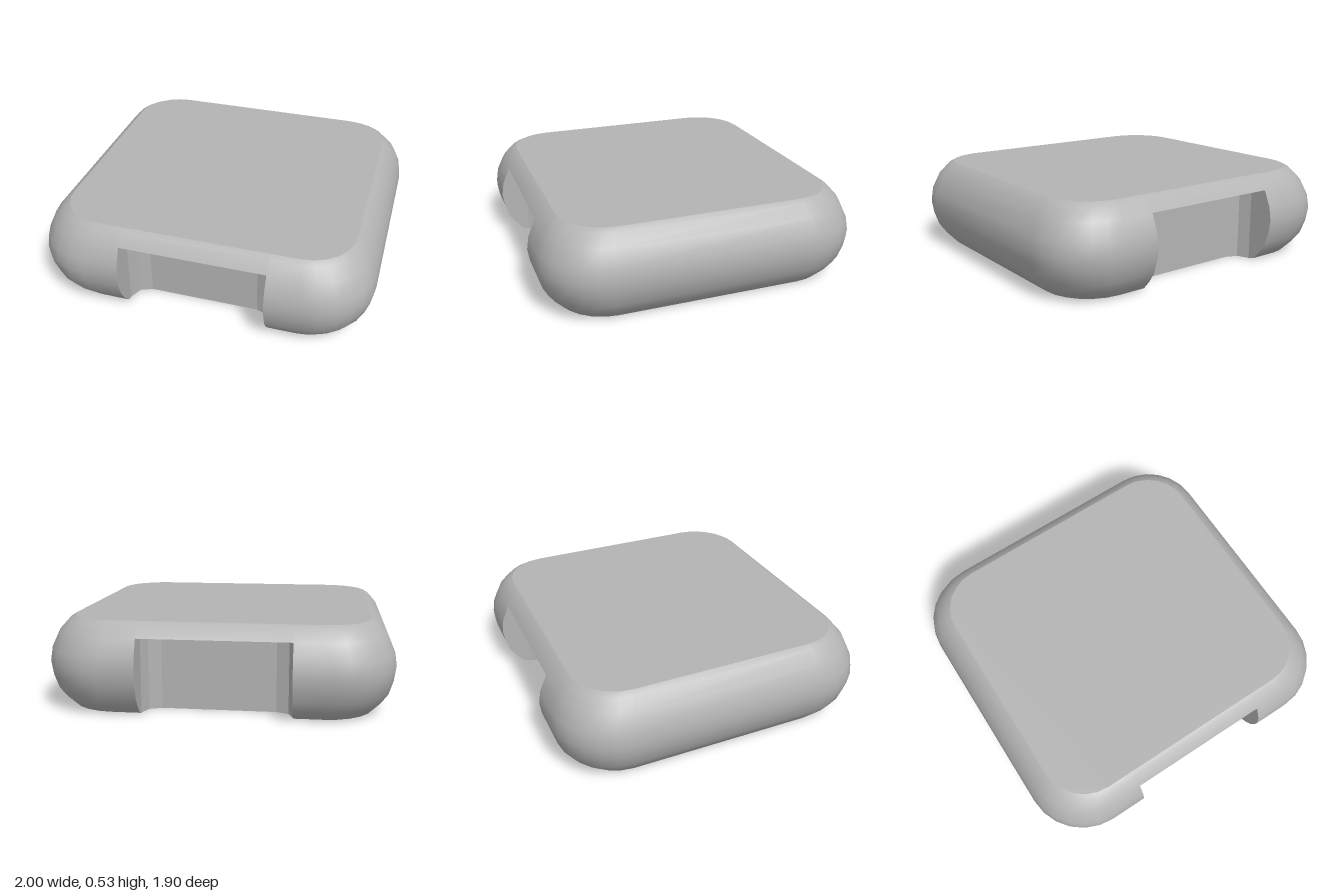
import * as THREE from 'three';
import { toCreasedNormals } from 'three/addons/utils/BufferGeometryUtils.js';

const HALF_X = 1, HALF_Z = 0.95;
const NOTCH_X = 0.43, NOTCH_Y = 0.45, WALL_Z = 0.69, FILLET = 0.1;
// Side profile: [height, inset from the widest outline]
const PROFILE = [
  [0, 0.15], [0.01, 0.12], [0.06, 0.075], [0.12, 0.035], [0.2, 0.01], [0.27, 0],
  [0.35, 0.012], [NOTCH_Y, 0.055], [0.515, 0.11], [0.533, 0.14],
];
const NOTCH_LEVEL = PROFILE.findIndex(([y]) => y === NOTCH_Y);
const CORNER_STEPS = 6;

// Rounded-square outline [x, z] at a given inset, split at the notch edges
function outline(inset) {
  const hx = HALF_X - inset, hz = HALF_Z - inset, r = 0.35 - inset * 0.6;
  const q = [[NOTCH_X, hz]];
  for (let i = 0; i <= CORNER_STEPS; i++) {
    const a = (i / CORNER_STEPS) * Math.PI / 2;
    q.push([hx - r + r * Math.sin(a), hz - r + r * Math.cos(a)]);
  }
  const rev = [...q].reverse();
  return [
    ...q,
    ...rev.map(([x, z]) => [x, -z]),
    ...q.map(([x, z]) => [-x, -z]),
    ...rev.map(([x, z]) => [-x, z]),
  ];
}

// Notch floor plan [x, z], from -x to +x, with two-step fillets
function notchPlan() {
  const right = [0, 1, 2].map((i) => {
    const a = i * Math.PI / 4;
    return [NOTCH_X - FILLET + FILLET * Math.sin(a), WALL_Z + FILLET - FILLET * Math.cos(a)];
  });
  return [...[...right].reverse().map(([x, z]) => [-x, z]), ...right];
}

function fromTriangles(pos) {
  const g = new THREE.BufferGeometry();
  g.setAttribute('position', new THREE.Float32BufferAttribute(pos, 3));
  g.computeVertexNormals();
  return g;
}

const quad = (pos, a, b, c, d) => pos.push(...a, ...b, ...c, ...a, ...c, ...d);

const flatShape = (pts) =>
  new THREE.ShapeGeometry(new THREE.Shape(pts.map(([x, y]) => new THREE.Vector2(x, y))));

export function createModel() {
  const model = new THREE.Group();
  model.name = 'notchedBlock';
  const grey = new THREE.MeshStandardMaterial({ color: 0xb4b4b4 });
  grey.name = 'grey';
  const add = (parent, name, geometry) => {
    const mesh = new THREE.Mesh(geometry, grey);
    mesh.name = name;
    parent.add(mesh);
    return mesh;
  };

  // Bulging side skin and flat top
  const rings = PROFILE.map(([y, inset]) => outline(inset).map(([x, z]) => [x, y, z]));
  const n = rings[0].length;
  const pos = [];
  for (let l = 0; l < rings.length - 1; l++) {
    for (let j = 0; j < n; j++) {
      const isNotch = j === n / 2 - 1 || j === n - 1;
      if (isNotch && l < NOTCH_LEVEL) continue;
      const k = (j + 1) % n;
      quad(pos, rings[l][j], rings[l][k], rings[l + 1][k], rings[l + 1][j]);
    }
  }
  add(model, 'roundedSides', toCreasedNormals(fromTriangles(pos), 0.6));

  const topRing = rings[rings.length - 1];
  add(model, 'top', flatShape(topRing.map(([x, , z]) => [x, -z])).rotateX(-Math.PI / 2))
    .position.y = topRing[0][1];

  // Underside with both notches cut out
  const plan = notchPlan();
  const base = outline(PROFILE[0][1]);
  const underside = [
    ...base.slice(0, n / 2),
    ...[...plan].reverse().map(([x, z]) => [x, -z]),
    ...base.slice(n / 2),
    ...plan,
  ];
  add(model, 'underside', flatShape(underside).rotateX(Math.PI / 2));

  // Front and back notches
  const sideProfile = [
    ...PROFILE.slice(0, NOTCH_LEVEL + 1).map(([y, inset]) => [HALF_Z - inset, y]),
    [WALL_Z + FILLET, NOTCH_Y], [WALL_Z + FILLET, 0],
  ];
  const lipZ = HALF_Z - PROFILE[NOTCH_LEVEL][1];
  for (const [name, turn] of [['frontNotch', 0], ['backNotch', Math.PI]]) {
    const notch = new THREE.Group();
    notch.name = name;
    notch.rotation.y = turn;
    model.add(notch);

    const wall = [];
    for (let i = 0; i < plan.length - 1; i++) {
      const [x0, z0] = plan[i], [x1, z1] = plan[i + 1];
      quad(wall, [x0, 0, z0], [x1, 0, z1], [x1, NOTCH_Y, z1], [x0, NOTCH_Y, z0]);
    }
    add(notch, 'notchWall', fromTriangles(wall));
    add(notch, 'notchCeiling',
      flatShape([[-NOTCH_X, lipZ], ...plan, [NOTCH_X, lipZ]]).rotateX(Math.PI / 2))
      .position.y = NOTCH_Y;
    for (const s of [-1, 1]) {
      const jamb = flatShape(sideProfile.map(([z, y]) => [s * z, y])).rotateY(-s * Math.PI / 2);
      add(notch, s > 0 ? 'leftJamb' : 'rightJamb', jamb).position.x = s * NOTCH_X;
    }
  }
  return model;
}
